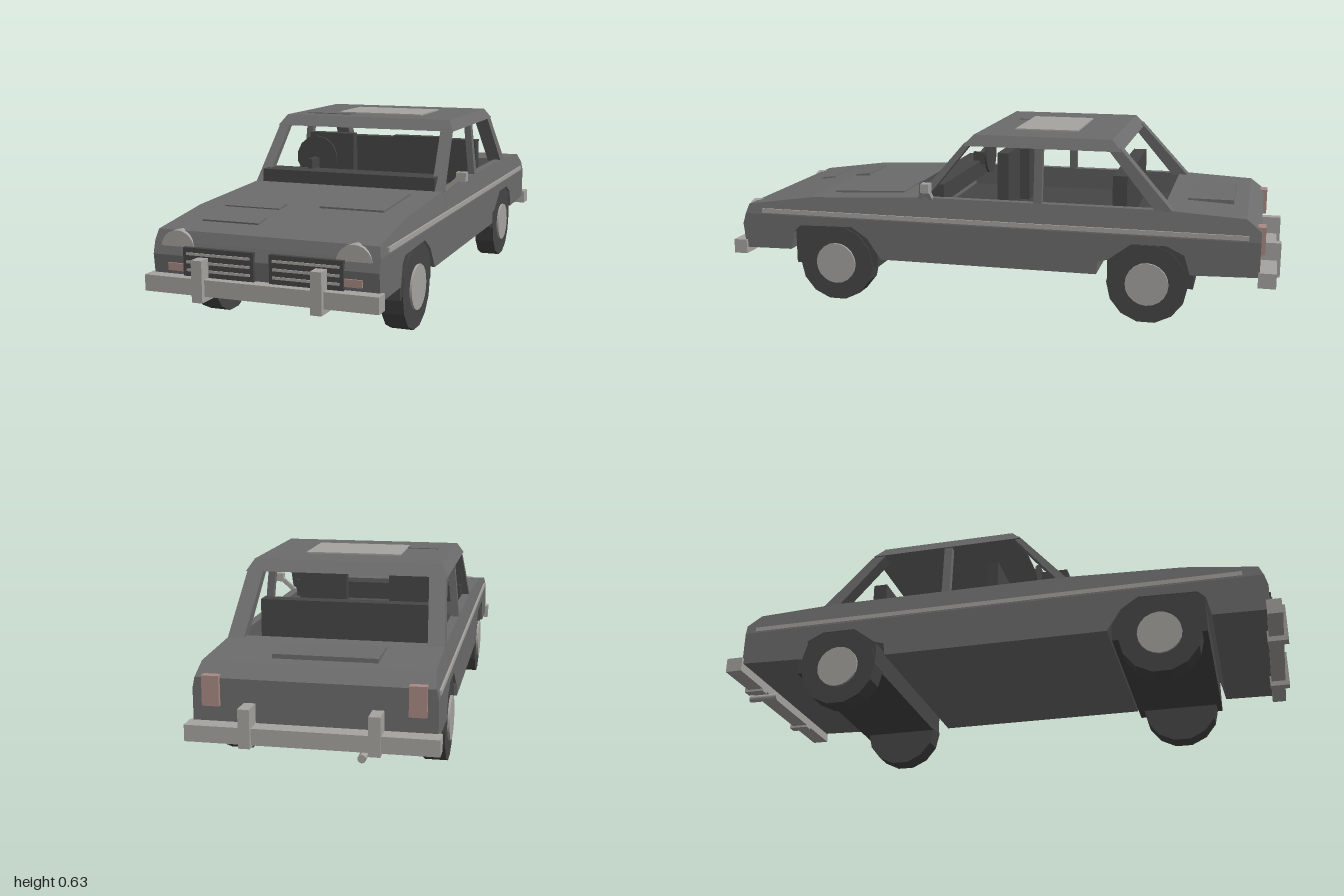
import * as THREE from 'three';

const mat = (name, color) => {
  const m = new THREE.MeshStandardMaterial({ color });
  m.name = name;
  return m;
};

export function createModel() {
  const paint = mat('body paint', 0x6c6c6c);
  const dark = mat('dark trim', 0x464646);
  const chrome = mat('chrome', 0xa6a4a0);
  const lamp = mat('red lamp', 0xa88a84);

  const model = new THREE.Group();
  model.name = 'car';
  const car = new THREE.Group();
  car.name = 'carBody';
  car.position.x = -0.021; // the single mirror shifts the car off centre
  model.add(car);

  const add = (name, geo, material) => {
    const mesh = new THREE.Mesh(geo, material);
    mesh.name = name;
    car.add(mesh);
    return mesh;
  };
  // Box given by its min and max on each axis
  const box = (name, material, [x0, x1], [y0, y1], [z0, z1]) => {
    const mesh = add(name, new THREE.BoxGeometry(x1 - x0, y1 - y0, z1 - z0), material);
    mesh.position.set((x0 + x1) / 2, (y0 + y1) / 2, (z0 + z1) / 2);
    return mesh;
  };
  // Side profile in [z, y], extruded across x; shiftX(x, y) can lean the sides
  const profile = (name, material, pts, width, shiftX = (x) => x) => {
    const shape = new THREE.Shape(pts.map(([z, y]) => new THREE.Vector2(z, y)));
    const geo = new THREE.ExtrudeGeometry(shape, { depth: width, bevelEnabled: false });
    geo.rotateY(-Math.PI / 2).translate(width / 2, 0, 0);
    const p = geo.attributes.position;
    for (let i = 0; i < p.count; i++) p.setX(i, shiftX(p.getX(i), p.getY(i)));
    geo.computeVertexNormals();
    return add(name, geo, material);
  };

  // Lower body with wheel arches
  const W = 0.752;
  profile('lowerBody', paint, [
    [0.938, 0.31], [-0.93, 0.31], [-0.93, 0.19], [-0.7, 0.183], [-0.68, 0.25], [-0.62, 0.28],
    [-0.5, 0.28], [-0.42, 0.22], [-0.385, 0.21], [-0.38, 0.165], [0.41, 0.165], [0.46, 0.24],
    [0.52, 0.28], [0.72, 0.275], [0.745, 0.25], [0.76, 0.183], [0.94, 0.18], [0.95, 0.27],
  ], W);

  // Upper body: bonnet, boot and door tops lean inward
  const lean = (x, y) => x * (1 - (y - 0.31) * 0.55);
  profile('bonnet', paint, [
    [0.938, 0.31], [0.925, 0.345], [0.68, 0.38], [0.25, 0.4], [0.25, 0.31],
  ], W, lean);
  profile('boot', paint, [
    [-0.6, 0.31], [-0.6, 0.4], [-0.88, 0.385], [-0.93, 0.345], [-0.93, 0.31],
  ], W, lean);
  const cabin = [[0.25, 0.31], [0.25, 0.4], [-0.6, 0.4], [-0.6, 0.31]];
  box('cabinFloor', dark, [-0.34, 0.34], [0.3, 0.315], [-0.598, 0.248]);

  // Roof
  profile('roof', paint, [
    [0.105, 0.59], [0.07, 0.628], [-0.42, 0.628], [-0.455, 0.59],
  ], 0.69, (x, y) => x * (1 - (y - 0.59) * 1.7));
  box('roofHatch', paint, [-0.27, -0.09], [0.62, 0.631], [-0.1, 0]);
  box('sunroof', chrome, [-0.16, 0.176], [0.624, 0.633], [-0.275, -0.045]);

  // Parts that mirror left and right
  for (const s of [-1, 1]) {
    const side = s > 0 ? 'left' : 'right';
    const pillar = (name, pts, w) =>
      profile(side + name, paint, pts, w, (x, y) => x + s * (0.358 - w / 2 - (y - 0.4) * 0.1));
    profile(side + 'DoorTop', paint, cabin, 0.03, (x, y) => x + s * (0.361 - (y - 0.31) * 0.2));
    pillar('FrontPillar', [[0.275, 0.395], [0.24, 0.395], [0.075, 0.6], [0.1, 0.6]], 0.04);
    pillar('MiddlePillar', [[-0.153, 0.395], [-0.182, 0.395], [-0.182, 0.6], [-0.153, 0.6]], 0.025);
    pillar('RearPillar', [[-0.575, 0.395], [-0.635, 0.395], [-0.45, 0.6], [-0.405, 0.6]], 0.055);

    // Side trim strip
    const strip = box(side + 'TrimStrip', chrome, [-0.004, 0.004], [0.315, 0.331], [-0.89, 0.87]);
    strip.position.x = s * 0.374;

    // Wheels
    for (const [end, z] of [['Front', 0.585], ['Rear', -0.555]]) {
      const tyre = add(side + end + 'Tyre', new THREE.CylinderGeometry(0.14, 0.14, 0.076, 14).toNonIndexed(), dark);
      tyre.geometry.computeVertexNormals();
      tyre.rotation.z = Math.PI / 2;
      tyre.position.set(s * 0.332, 0.14, z);
      const hub = add(side + end + 'Hubcap', new THREE.CylinderGeometry(0.075, 0.075, 0.02, 20), chrome);
      hub.rotation.z = Math.PI / 2;
      hub.position.set(s * 0.368, 0.14, z);
    }

    // Headlight, indicator and tail light
    const head = add(side + 'Headlight', new THREE.CylinderGeometry(0.058, 0.058, 0.06, 24), chrome);
    head.rotation.x = Math.PI / 2;
    head.position.set(s * 0.294, 0.29, 0.912);
    const cx = s * 0.295;
    box(side + 'Indicator', lamp, [cx - 0.028, cx + 0.028], [0.222, 0.246], [0.93, 0.953]);
    const tx = s * 0.316;
    box(side + 'TailLight', lamp, [tx - 0.027, tx + 0.027], [0.26, 0.355], [-0.944, -0.91]);

    // Grille with bars
    const gx = s * 0.146;
    box(side + 'Grille', dark, [gx - 0.12, gx + 0.12], [0.21, 0.3], [0.93, 0.957]);
    for (const y of [0.23, 0.255, 0.281])
      box(side + 'GrilleBar', chrome, [gx - 0.108, gx + 0.108], [y - 0.004, y + 0.004], [0.95, 0.961]);

    // Bumper guards
    const bx = s * 0.197;
    box(side + 'FrontBumperGuard', chrome, [bx - 0.018, bx + 0.018], [0.14, 0.272], [0.93, 1]);
    box(side + 'RearBumperGuard', chrome, [bx - 0.018, bx + 0.018], [0.15, 0.272], [-0.998, -0.925]);

    // Front seat
    const sx = s * 0.171;
    box(side + 'FrontSeat', dark, [sx - 0.09, sx + 0.09], [0.31, 0.555], [-0.04, 0]);
  }

  // Bumpers and exhaust
  box('frontBumper', chrome, [-0.388, 0.388], [0.158, 0.21], [0.935, 0.985]);
  box('rearBumper', chrome, [-0.388, 0.388], [0.158, 0.21], [-0.985, -0.925]);
  const exhaust = add('exhaustPipe', new THREE.CylinderGeometry(0.013, 0.013, 0.11, 10), chrome);
  exhaust.rotation.x = Math.PI / 2;
  exhaust.position.set(-0.16, 0.143, -0.945);

  // Axle housings
  box('frontAxleHousing', dark, [-0.366, 0.366], [0.132, 0.29], [0.425, 0.742]);
  box('rearAxleHousing', dark, [-0.366, 0.366], [0.132, 0.29], [-0.712, -0.417]);

  // Raised panels on bonnet and boot
  for (const [y, z] of [[0.383, 0.65], [0.363, 0.8]])
    box('bonnetVent', paint, [-0.268, -0.07], [y - 0.005, y + 0.005], [z - 0.03, z + 0.03]).rotation.x = 0.14;
  box('bonnetPanel', paint, [0.046, 0.27], [0.384, 0.395], [0.35, 0.62]).rotation.x = 0.046;
  box('bootPanel', paint, [-0.18, 0.152], [0.383, 0.402], [-0.83, -0.67]);

  // Interior
  box('dashboard', dark, [-0.33, 0.33], [0.38, 0.445], [0.18, 0.272]);
  box('rearSeat', dark, [-0.29, 0.29], [0.31, 0.497], [-0.47, -0.42]);
  const wheel = add('steeringWheel', new THREE.CylinderGeometry(0.08, 0.08, 0.008, 14), dark);
  wheel.rotation.x = Math.PI / 2;
  wheel.position.set(-0.17, 0.479, 0.14);
  box('steeringColumn', dark, [-0.179, -0.161], [0.43, 0.48], [0.14, 0.21]);

  // Door mirror on its arm
  box('doorMirror', chrome, [0.395, 0.431], [0.432, 0.464], [0.205, 0.235]);
  const arm = box('mirrorArm', chrome, [-0.036, 0.036], [-0.008, 0.008], [-0.008, 0.008]);
  arm.position.set(0.378, 0.42, 0.222);
  arm.rotation.z = 0.72;

  return model;
}
